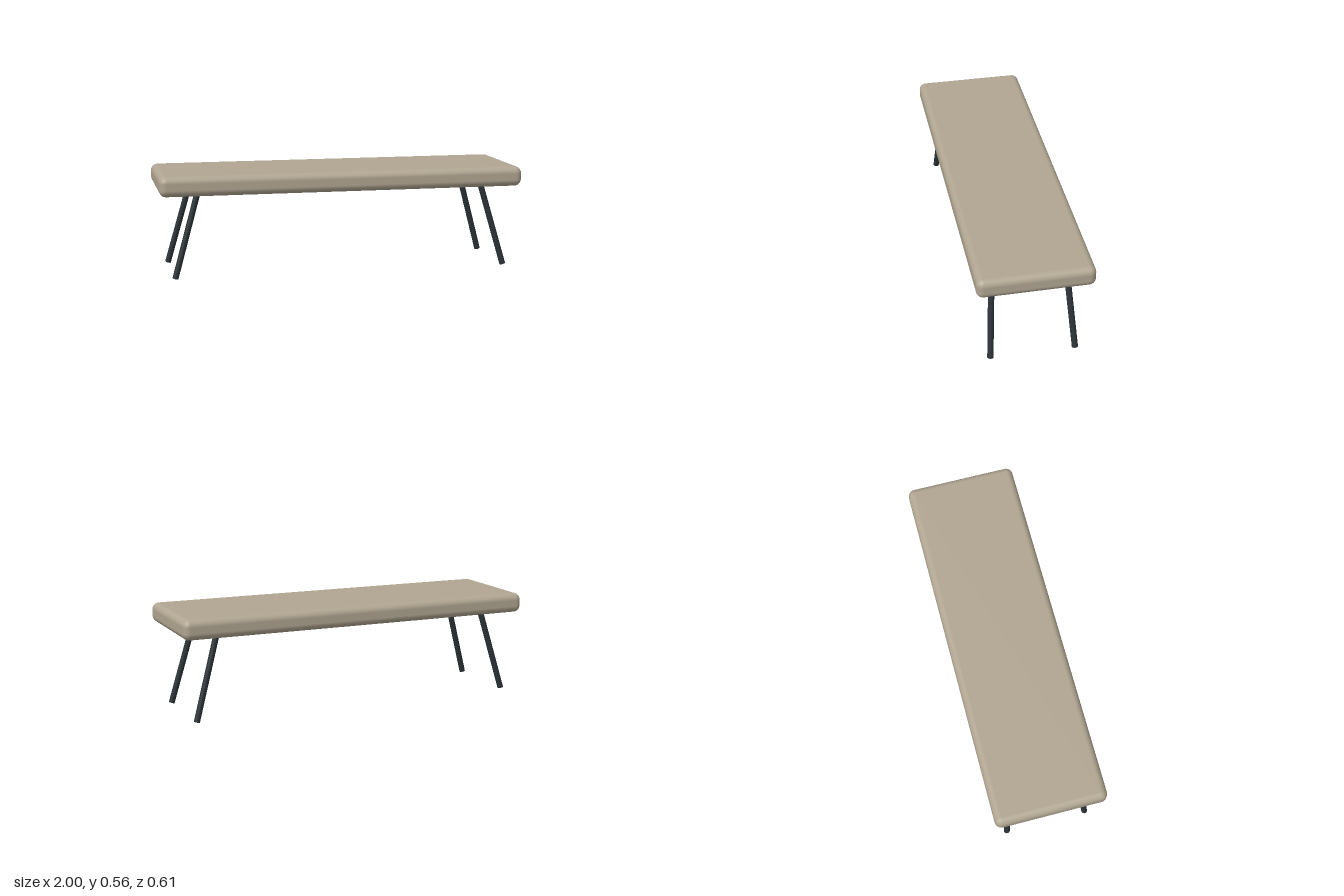
import * as THREE from 'three';
import { RoundedBoxGeometry } from 'three/addons/geometries/RoundedBoxGeometry.js';

export function createModel() {
  const group = new THREE.Group();
  const fabric = new THREE.MeshStandardMaterial({ color: 0xb0a591 });
  const metal = new THREE.MeshStandardMaterial({ color: 0x2b3236 });

  // Padded seat with rounded edges
  const seat = new THREE.Mesh(new RoundedBoxGeometry(2, 0.108, 0.606, 6, 0.037), fabric);
  seat.name = 'seat';
  seat.position.y = 0.509;
  group.add(seat);

  // Four round legs, splayed outwards, tops sunk slightly into the seat
  const up = new THREE.Vector3(0, 1, 0);
  for (const sx of [-1, 1]) {
    for (const sz of [-1, 1]) {
      const foot = new THREE.Vector3(sx * 0.92, 0.0045, sz * 0.224);
      const top = new THREE.Vector3(sx * 0.788, 0.47, sz * 0.192);
      const axis = top.clone().sub(foot);
      const leg = new THREE.Mesh(new THREE.CylinderGeometry(0.0163, 0.0163, axis.length(), 24), metal);
      leg.name = (sz > 0 ? 'front' : 'back') + (sx > 0 ? 'Left' : 'Right') + 'Leg';
      leg.position.copy(foot).add(top).multiplyScalar(0.5);
      leg.quaternion.setFromUnitVectors(up, axis.normalize());
      group.add(leg);
    }
  }
  return group;
}
